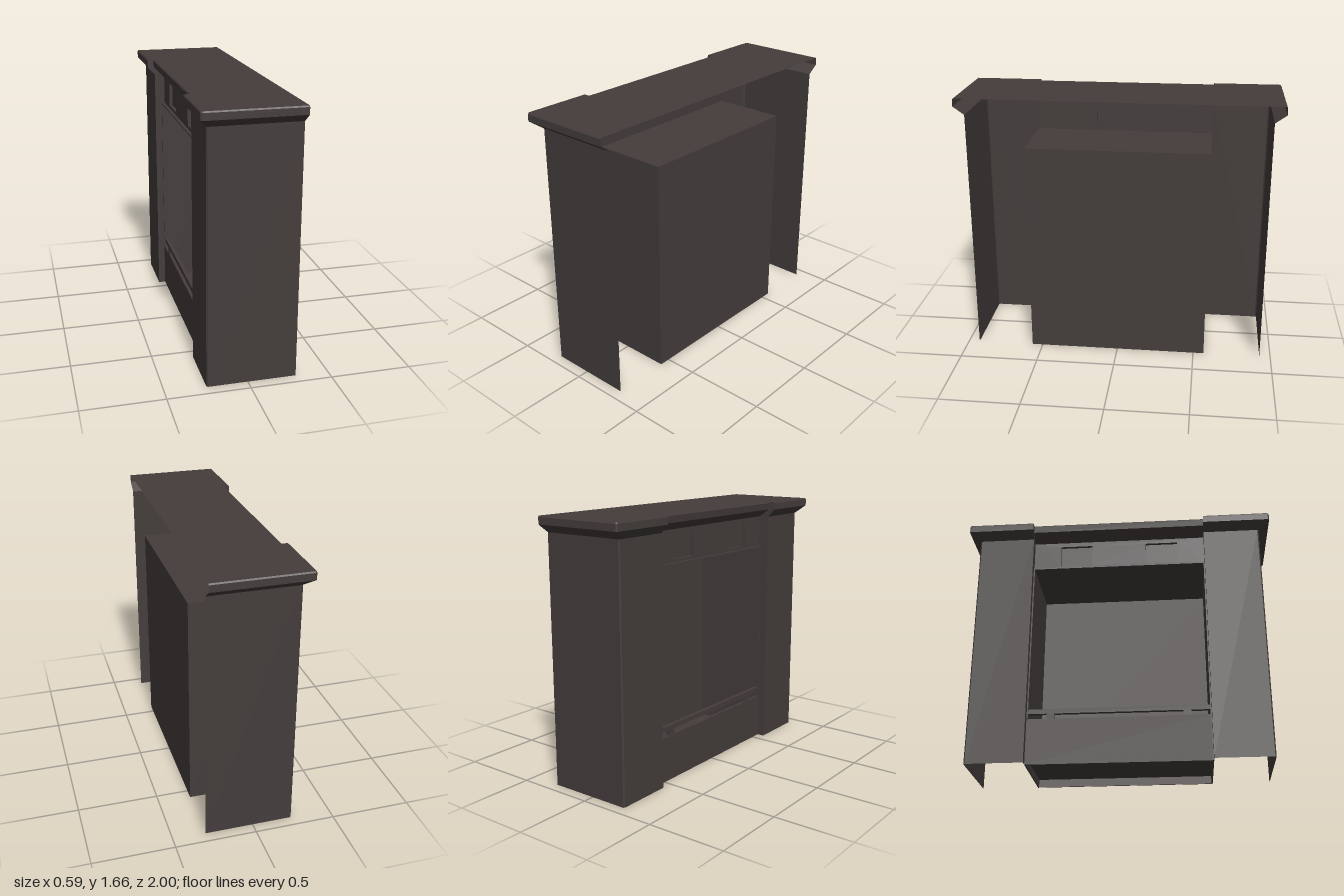
import * as THREE from 'three';

export function createModel() {
  const model = new THREE.Group();
  const stone = new THREE.MeshStandardMaterial({ color: 0x443d3c, side: THREE.DoubleSide });
  stone.name = 'dark stone';

  function add(name, geometry) {
    const mesh = new THREE.Mesh(geometry, stone);
    mesh.name = name;
    model.add(mesh);
    return mesh;
  }

  // Box given by its limits on each axis
  function block(name, [x0, x1], [y0, y1], [z0, z1]) {
    const g = new THREE.BoxGeometry(x1 - x0, y1 - y0, z1 - z0);
    g.translate((x0 + x1) / 2, (y0 + y1) / 2, (z0 + z1) / 2);
    return add(name, g);
  }

  // Flat-faced open shell between rows of [x, y, z] points
  function loft(name, rows) {
    const p = [];
    for (let r = 0; r < rows.length - 1; r++) {
      for (let i = 0; i < rows[r].length - 1; i++) {
        const a = rows[r][i], b = rows[r][i + 1], c = rows[r + 1][i + 1], d = rows[r + 1][i];
        p.push(...a, ...b, ...c, ...a, ...c, ...d);
      }
    }
    const g = new THREE.BufferGeometry();
    g.setAttribute('position', new THREE.Float32BufferAttribute(p, 3));
    g.computeVertexNormals();
    return add(name, g);
  }

  const back = 0.297, inner = 0.568, outer = 0.93, pillarX = -0.25, friezeX = -0.185;

  // Crown profile: [height, forward overhang, sideways overhang]
  const crown = [[1.56, 0, 0], [1.61, 0.047, 0.07], [1.652, 0.047, 0.07], [1.66, 0.043, 0.064]];

  // Pillars with flared capitals, open towards the wall
  for (const s of [1, -1]) {
    const c = 0.008;
    const row = ([y, dx, dz]) => {
      const pts = [
        [back, y, outer + dz], [pillarX - dx + c, y, outer + dz],
        [pillarX - dx, y, outer + dz - c], [pillarX - dx, y, inner], [friezeX, y, inner],
      ].map(([x, h, z]) => [x, h, z * s]);
      return s > 0 ? pts.reverse() : pts;
    };
    loft(s > 0 ? 'leftPillar' : 'rightPillar', [[0, 0, 0], ...crown].map(row));
  }

  // Middle cornice, stepped back from the capitals
  const lip = [0, 0.07, 0.075, 0.07];
  loft('middleCornice', crown.map(([y], i) => [
    [friezeX - lip[i], y, -inner], [friezeX - lip[i], y, inner],
  ]));

  // Mantel top, notched along the front
  const fx = pillarX - 0.043, mx = friezeX - 0.07, ez = outer + 0.064;
  const top = new THREE.Shape([
    [back, -ez], [back, ez], [fx, ez], [fx, inner], [mx, inner], [mx, -inner], [fx, -inner], [fx, -ez],
  ].map(([x, z]) => new THREE.Vector2(x, -z)));
  add('mantelTop', new THREE.ShapeGeometry(top).rotateX(-Math.PI / 2).translate(0, 1.66, 0));

  // Frieze with two square recesses
  const frieze = new THREE.Shape([[-inner, 1.36], [inner, 1.36], [inner, 1.56], [-inner, 1.56]]
    .map(([z, y]) => new THREE.Vector2(z, y)));
  for (const s of [1, -1]) {
    const z0 = s * 0.285 - 0.105, z1 = s * 0.285 + 0.105;
    frieze.holes.push(new THREE.Path([[z0, 1.38], [z0, 1.53], [z1, 1.53], [z1, 1.38]]
      .map(([z, y]) => new THREE.Vector2(z, y))));
    block('recessPanel', [friezeX + 0.02, friezeX + 0.025], [1.38, 1.53], [z0, z1]);
  }
  const friezeGeometry = new THREE.ExtrudeGeometry(frieze, { depth: 0.02, bevelEnabled: false });
  friezeGeometry.rotateY(-Math.PI / 2).translate(friezeX + 0.02, 0, 0);
  add('frieze', friezeGeometry);

  // Firebox, open at the front
  const front = -0.205, t = 0.008;
  block('fireboxBack', [back - t, back], [0, 1.36], [-inner, inner]);
  block('fireboxTop', [front, back], [1.36 - t, 1.36], [-inner, inner]);
  block('fireboxFloor', [front, back - t], [0.05, 0.055], [-inner, inner]);
  for (const s of [1, -1]) {
    const z = [s * inner, s * (inner - t)].sort((a, b) => a - b);
    block('fireboxSide', [front, back], [0, 1.36], z);
  }

  // Lower panel and fender rail
  block('lowerPanel', [front, front + 0.02], [0, 0.29], [-inner, inner]);
  block('fenderRail', [-0.2, -0.175], [0.325, 0.355], [-inner, inner]);
  for (const s of [1, -1]) {
    block('railBracket', [-0.2, -0.175], [0.28, 0.325], [s * 0.42 - 0.025, s * 0.42 + 0.025]);
  }

  return model;
}
